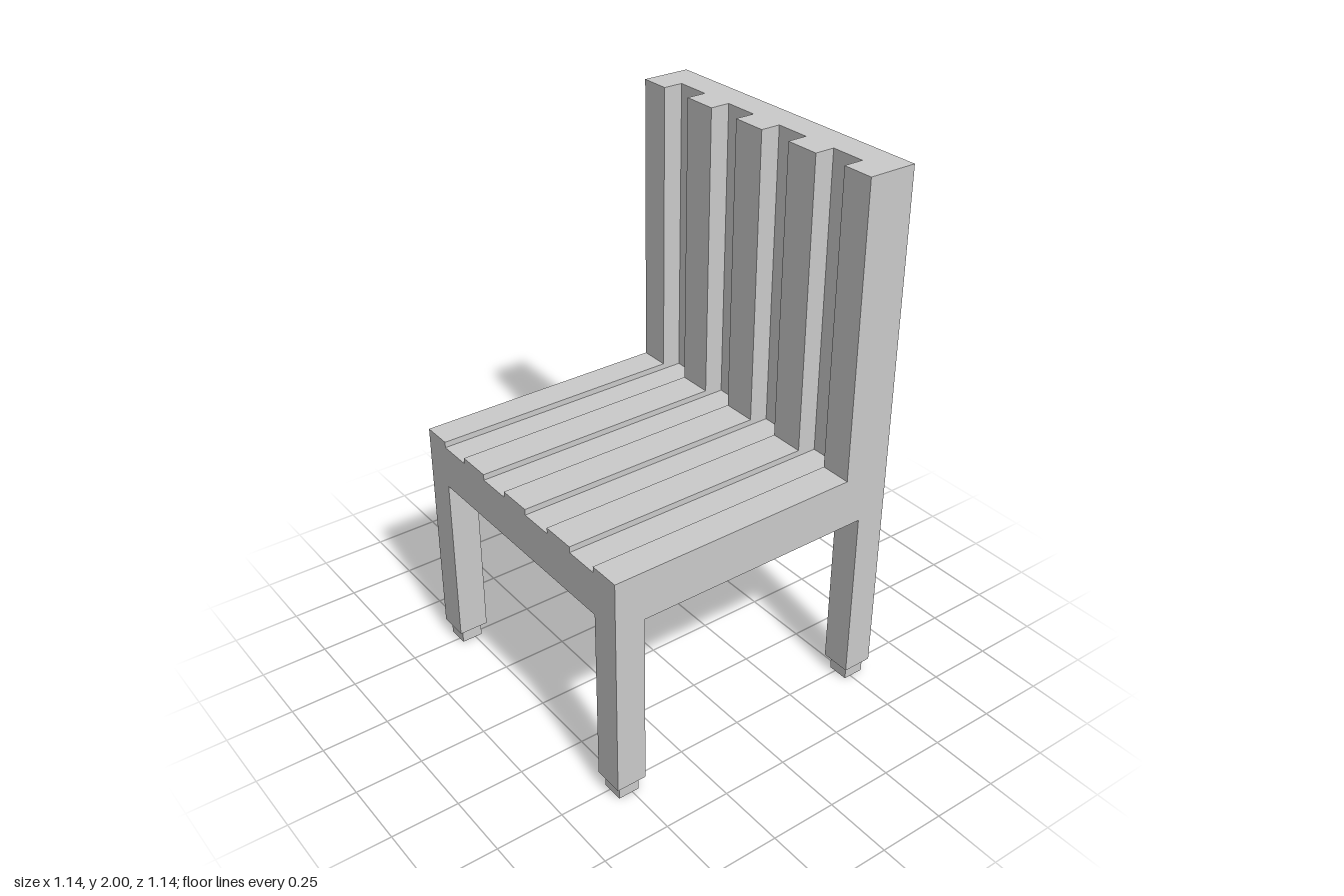
import * as THREE from 'three';

const HALF = 0.57;              // half of the square footprint
const SEAT_BOTTOM = 0.727, SEAT_FLOOR = 0.89, SEAT_TOP = 0.912;
const BACK_FLOOR = 0.462, BACK_FRONT = 0.388; // distances behind the centre
const LEG = 0.113, FOOT = 0.08, FOOT_HEIGHT = 0.057;
const GROOVE = 0.13, PITCH = 0.26, FIRST_GROOVE = -0.457;

// Slab cross-section with four square grooves cut into its ridge side
function groovedShape(base, floor, ridge) {
  const shape = new THREE.Shape();
  shape.moveTo(-HALF, base);
  shape.lineTo(-HALF, ridge);
  for (let i = 0; i < 4; i++) {
    const x = FIRST_GROOVE + i * PITCH;
    shape.lineTo(x, ridge);
    shape.lineTo(x, floor);
    shape.lineTo(x + GROOVE, floor);
    shape.lineTo(x + GROOVE, ridge);
  }
  shape.lineTo(HALF, ridge);
  shape.lineTo(HALF, base);
  shape.closePath();
  return shape;
}

export function createModel() {
  const model = new THREE.Group();
  model.name = 'chair';
  const material = new THREE.MeshStandardMaterial({ color: 0xcccccc, flatShading: true });

  function add(name, geometry, x = 0, y = 0, z = 0, parent = model) {
    const mesh = new THREE.Mesh(geometry, material);
    mesh.name = name;
    mesh.position.set(x, y, z);
    parent.add(mesh);
  }

  // Seat with grooves running front to back
  add('seat', new THREE.ExtrudeGeometry(groovedShape(SEAT_BOTTOM, SEAT_FLOOR, SEAT_TOP),
    { depth: HALF + BACK_FRONT, bevelEnabled: false }), 0, 0, -BACK_FRONT);

  // Rear rail under the backrest
  add('rearRail', new THREE.BoxGeometry(2 * HALF, SEAT_FLOOR - SEAT_BOTTOM, HALF - BACK_FRONT),
    0, (SEAT_FLOOR + SEAT_BOTTOM) / 2, -(HALF + BACK_FRONT) / 2);

  // Backrest with upright grooves on its front
  const back = new THREE.ExtrudeGeometry(groovedShape(HALF, BACK_FLOOR, BACK_FRONT),
    { depth: 2 - SEAT_FLOOR, bevelEnabled: false });
  back.rotateX(-Math.PI / 2);
  add('backrest', back, 0, SEAT_FLOOR, 0);

  // Four square legs, each on a smaller foot
  const legHeight = SEAT_BOTTOM - FOOT_HEIGHT;
  const legGeometry = new THREE.BoxGeometry(LEG, legHeight, LEG);
  const footGeometry = new THREE.BoxGeometry(FOOT, FOOT_HEIGHT, FOOT);
  for (const sz of [1, -1]) {
    for (const sx of [1, -1]) {
      const leg = new THREE.Group();
      leg.name = (sz > 0 ? 'front' : 'back') + (sx > 0 ? 'Left' : 'Right') + 'Leg';
      leg.position.set(sx * (HALF - LEG / 2), 0, sz * (HALF - LEG / 2));
      add('post', legGeometry, 0, FOOT_HEIGHT + legHeight / 2, 0, leg);
      add('foot', footGeometry, 0, FOOT_HEIGHT / 2, 0, leg);
      model.add(leg);
    }
  }
  return model;
}
